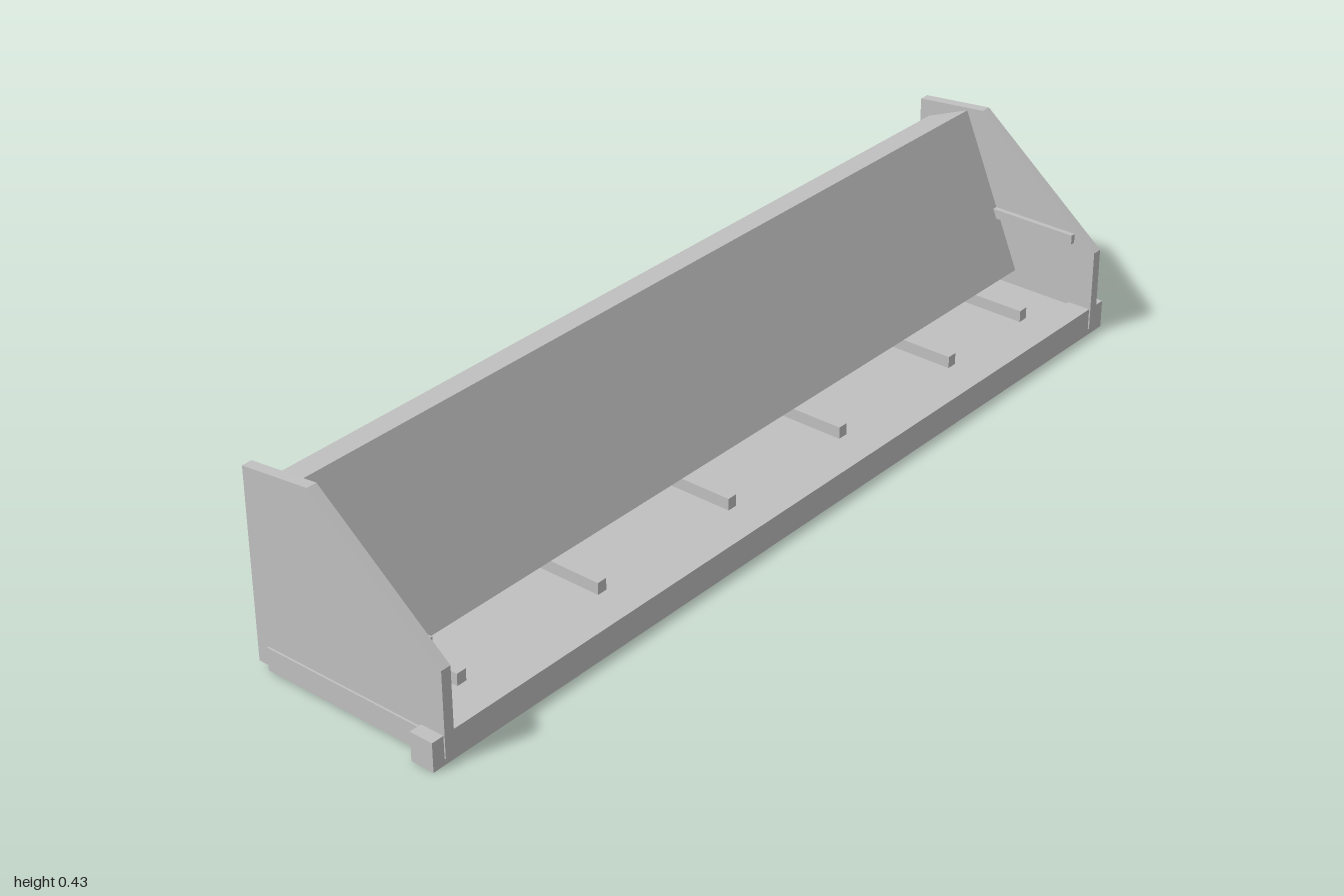
import * as THREE from 'three';

const grey = new THREE.MeshStandardMaterial({ color: 0xc0c0c0 });
grey.name = 'plain grey';

// Box given by its limits on each axis
function box(name, x0, x1, y0, y1, z0, z1) {
  const geo = new THREE.BoxGeometry(x1 - x0, y1 - y0, z1 - z0);
  geo.translate((x0 + x1) / 2, (y0 + y1) / 2, (z0 + z1) / 2);
  const mesh = new THREE.Mesh(geo, grey);
  mesh.name = name;
  return mesh;
}

// Profile of [z, y] points extruded across x
function slab(name, points, x0, x1) {
  const shape = new THREE.Shape(points.map(([z, y]) => new THREE.Vector2(-z, y)));
  const geo = new THREE.ExtrudeGeometry(shape, { depth: x1 - x0, bevelEnabled: false });
  geo.rotateY(Math.PI / 2);
  geo.translate(x0, 0, 0);
  const mesh = new THREE.Mesh(geo, grey);
  mesh.name = name;
  return mesh;
}

export function createModel() {
  const model = new THREE.Group();
  model.name = 'trough';

  // Floor, front rail and upright back
  model.add(box('floor', -0.977, 0.977, 0.007, 0.055, -0.196, 0.18));
  model.add(box('frontRail', -1, 1, 0, 0.06, 0.171, 0.222));
  model.add(box('backPanel', -0.952, 0.952, 0.012, 0.379, -0.198, -0.175));

  // Thick leaning board with square-cut ends
  const board = [[0.035, 0.09], [-0.105, 0.417], [-0.198, 0.378], [-0.057, 0.051]];
  model.add(slab('leaningBoard', board, -0.952, 0.952));

  // End panels with a small ledge on the inside
  const end = [[0.225, 0.014], [0.225, 0.191], [-0.066, 0.427], [-0.223, 0.41], [-0.223, 0.014]];
  for (const [side, s] of [['left', 1], ['right', -1]]) {
    const x0 = s > 0 ? 0.951 : -0.973;
    model.add(slab(side + 'EndPanel', end, x0, x0 + 0.022));
    const l0 = s > 0 ? 0.94 : -0.953;
    model.add(box(side + 'Ledge', l0, l0 + 0.013, 0.2, 0.22, -0.06, 0.175));
  }

  // Short bars lying on the floor
  for (const x of [-0.84, -0.48, -0.115, 0.222, 0.582, 0.833]) {
    model.add(box('floorBar', x - 0.011, x + 0.011, 0.05, 0.08, -0.04, 0.137));
  }
  return model;
}
